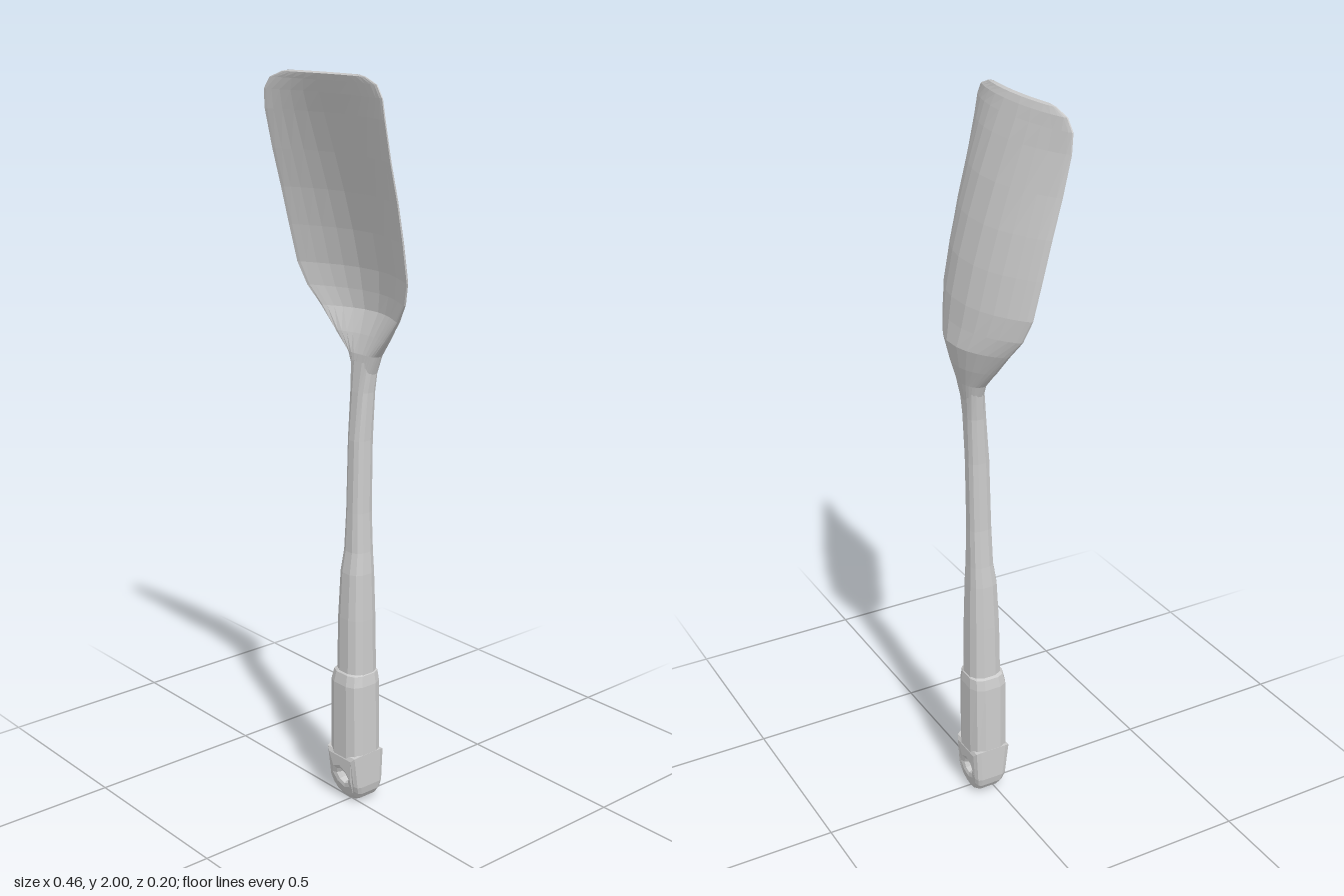
import * as THREE from 'three';

const material = new THREE.MeshStandardMaterial({ color: 0xcccccc, flatShading: true });

// Skin through rings of [y, half width, centre z, edge z, half thickness].
// Edge z differing from centre z bows the section into a scoop.
function loft(rows, sides, power, cx = 0) {
  const pos = [], idx = [];
  for (const [y, w, zc, ze, h] of rows) {
    for (let i = 0; i < sides; i++) {
      const a = ((i + 0.5) / sides) * Math.PI * 2;
      const c = Math.cos(a), s = Math.sin(a);
      const u = Math.sign(c) * Math.abs(c) ** power;
      pos.push(cx + w * u, y, zc + (ze - zc) * u * u + h * Math.sign(s) * Math.abs(s) ** power);
    }
  }
  for (let k = 0; k < rows.length - 1; k++) {
    for (let i = 0; i < sides; i++) {
      const j = (i + 1) % sides, p = k * sides, q = p + sides;
      idx.push(p + i, q + i, p + j, p + j, q + i, q + j);
    }
  }
  const g = new THREE.BufferGeometry();
  g.setAttribute('position', new THREE.Float32BufferAttribute(pos, 3));
  g.setIndex(idx);
  g.computeVertexNormals();
  return g;
}

function add(group, name, geometry) {
  const mesh = new THREE.Mesh(geometry, material);
  mesh.name = name;
  group.add(mesh);
  return mesh;
}

// Straight section row: [y, half width, back z, front z]
const straight = ([y, w, back, front]) => {
  const z = (back + front) / 2;
  return [y, w, z, z, (front - back) / 2];
};

export function createModel() {
  const group = new THREE.Group();
  group.name = 'spatula';

  // Scooped blade, flaring out of the neck and leaning forward to the tip
  add(group, 'blade', loft([
    [1.23, 0.036, -0.047, -0.047, 0.024],
    [1.28, 0.057, -0.055, -0.045, 0.026],
    [1.33, 0.102, -0.070, -0.035, 0.024],
    [1.39, 0.152, -0.088, -0.025, 0.018],
    [1.44, 0.192, -0.082, -0.010, 0.014],
    [1.50, 0.216, -0.074, 0.004, 0.012],
    [1.60, 0.223, -0.052, 0.025, 0.012],
    [1.70, 0.227, -0.024, 0.047, 0.012],
    [1.80, 0.229, 0.008, 0.072, 0.012],
    [1.90, 0.231, 0.043, 0.093, 0.011],
    [1.95, 0.227, 0.062, 0.098, 0.010],
    [1.98, 0.205, 0.073, 0.096, 0.009],
    [1.996, 0.16, 0.080, 0.092, 0.007],
    [2.0, 0.135, 0.081, 0.090, 0],
  ], 28, 0.8));

  // Slim shaft swelling toward the grip
  add(group, 'shaft', loft([
    [0.38, 0.050, -0.070, 0.028],
    [0.55, 0.047, -0.068, 0.025],
    [0.68, 0.042, -0.065, 0.018],
    [0.74, 0.036, -0.063, 0.008],
    [0.85, 0.030, -0.062, 0.004],
    [1.05, 0.029, -0.065, -0.002],
    [1.18, 0.033, -0.069, -0.014],
    [1.26, 0.043, -0.073, -0.024],
  ].map(straight), 12, 0.75, -0.003));

  // Thicker grip with a stepped shoulder
  add(group, 'grip', loft([
    [0.13, 0.063, -0.075, 0.039],
    [0.36, 0.060, -0.075, 0.039],
    [0.39, 0.054, -0.072, 0.032],
    [0.40, 0.040, -0.060, 0.020],
    [0.40, 0, -0.02, -0.02],
  ].map(straight), 12, 0.65, -0.005));

  // Rounded grip end pierced by the hanging hole
  const outline = new THREE.Shape();
  outline.moveTo(0.046, 0.14);
  outline.lineTo(-0.046, 0.14);
  outline.lineTo(-0.046, 0.06);
  outline.quadraticCurveTo(-0.042, 0.018, 0, 0.017);
  outline.quadraticCurveTo(0.042, 0.018, 0.046, 0.06);
  const hole = new THREE.Path();
  hole.absellipse(-0.002, 0.076, 0.036, 0.038, 0, Math.PI * 2, true, Math.PI / 4);
  outline.holes.push(hole);
  const end = new THREE.ExtrudeGeometry(outline, {
    depth: 0.078, bevelThickness: 0.018, bevelSize: 0.016, bevelSegments: 2, curveSegments: 4,
  });
  end.translate(-0.005, 0, -0.039);
  // Thin the end toward its tip
  const p = end.attributes.position;
  for (let i = 0; i < p.count; i++) {
    const t = Math.min(1, Math.max(0, p.getY(i) / 0.1));
    p.setZ(i, p.getZ(i) * (0.62 + 0.38 * t) - 0.026 + 0.008 * t);
  }
  end.computeVertexNormals();
  add(group, 'gripEnd', end);

  return group;
}
